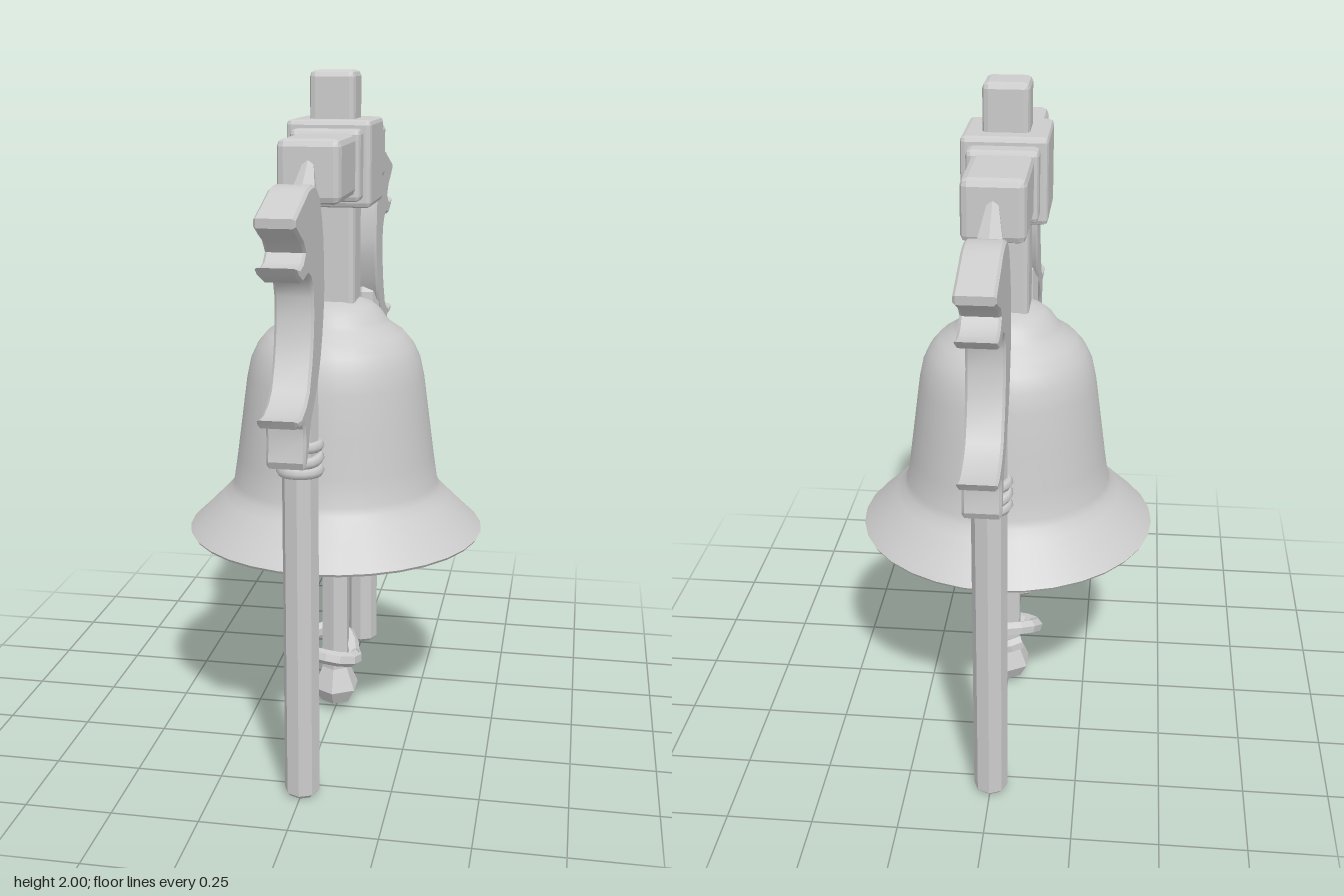
import * as THREE from 'three';
import { RoundedBoxGeometry } from 'three/addons/geometries/RoundedBoxGeometry.js';
import { toCreasedNormals } from 'three/addons/utils/BufferGeometryUtils.js';

const smooth = new THREE.MeshStandardMaterial({ color: 0xcccccc });
const faceted = new THREE.MeshStandardMaterial({ color: 0xcccccc, flatShading: true });
const open = new THREE.MeshStandardMaterial({ color: 0xcccccc, side: THREE.DoubleSide });

function add(parent, name, geometry, material, x = 0, y = 0, z = 0) {
  const mesh = new THREE.Mesh(geometry, material);
  mesh.name = name;
  mesh.position.set(x, y, z);
  parent.add(mesh);
  return mesh;
}

const vec2 = (list) => list.map(([a, b]) => new THREE.Vector2(a, b));
const lathe = (list, sides) => new THREE.LatheGeometry(vec2(list), sides);

// Box with chamfered edges
const chamferBox = (w, h, d, r = 0.015) => new RoundedBoxGeometry(w, h, d, 1, r);

// Leaping dolphin outline as (z, y), snout outward
function dolphinGeometry() {
  const shape = new THREE.Shape(vec2([
    // forehead and back
    [0.835, 1.672], [0.777, 1.69], [0.708, 1.712], [0.672, 1.725], [0.635, 1.73], [0.595, 1.73],
    [0.56, 1.721], [0.52, 1.695], [0.49, 1.64], [0.472, 1.59], [0.461, 1.52], [0.458, 1.447],
    [0.463, 1.405], [0.475, 1.363], [0.49, 1.32], [0.512, 1.272], [0.54, 1.228], [0.575, 1.188],
    // tail flukes
    [0.645, 1.13], [0.666, 1.098], [0.687, 1.05], [0.72, 1.02], [0.73, 1.04], [0.722, 1.093],
    [0.726, 1.13], [0.74, 1.15], [0.777, 1.148], [0.812, 1.152], [0.828, 1.176], [0.772, 1.172],
    [0.714, 1.188], [0.675, 1.214],
    // belly
    [0.64, 1.278], [0.622, 1.33], [0.612, 1.39], [0.612, 1.447], [0.623, 1.477], [0.645, 1.5],
    [0.68, 1.515],
    // open mouth
    [0.745, 1.505], [0.8, 1.527], [0.825, 1.553], [0.777, 1.547], [0.738, 1.555], [0.714, 1.575],
    [0.74, 1.602], [0.78, 1.62], [0.832, 1.648],
  ]));
  const bevel = 0.007, depth = 0.09;
  const geometry = new THREE.ExtrudeGeometry(shape, {
    depth, bevelEnabled: true, bevelThickness: bevel, bevelSize: bevel,
    bevelOffset: -bevel, bevelSegments: 1,
  });
  geometry.translate(0, 0, -depth / 2);
  geometry.rotateY(-Math.PI / 2);
  return toCreasedNormals(geometry, 0.5);
}

// Pole with rope rings, dolphin and fin, built on the +z side
function createSide(name) {
  const side = new THREE.Group();
  side.name = name;
  const z = 0.545;

  add(side, 'pole', lathe([[0, 0.005], [0.038, 0.005], [0.05, 0.017], [0.05, 1.27], [0.04, 1.29], [0, 1.29]], 8),
    faceted, 0, 0, z);

  [0.967, 1.002, 1.037].forEach((y, i) => {
    const ring = add(side, 'ropeRing', new THREE.TorusGeometry(0.05, 0.016, 6, 16), smooth, 0, y, z);
    ring.rotation.x = Math.PI / 2 + (i === 1 ? 0.12 : -0.04);
  });

  add(side, 'dolphin', dolphinGeometry(), smooth);

  // Fin tapering up to the end of the beam
  const base = new THREE.Vector3(0, 1.645, 0.51);
  const tip = new THREE.Vector3(0, 1.775, 0.4);
  const axis = tip.clone().sub(base);
  const fin = add(side, 'fin', new THREE.CylinderGeometry(0.014, 0.048, axis.length(), 6), faceted);
  fin.position.copy(base).add(tip).multiplyScalar(0.5);
  fin.quaternion.setFromUnitVectors(new THREE.Vector3(0, 1, 0), axis.normalize());
  return side;
}

export function createModel() {
  const model = new THREE.Group();
  model.name = 'bellStand';

  // Headstock of crossed timbers
  const headstock = new THREE.Group();
  headstock.name = 'headstock';
  model.add(headstock);
  add(headstock, 'uprightPost', chamferBox(0.132, 0.72, 0.132, 0.017), faceted, 0, 1.64, 0);
  add(headstock, 'crossBeam', chamferBox(0.174, 0.172, 0.84, 0.02), faceted, 0, 1.745, 0);
  add(headstock, 'beamCollar', chamferBox(0.2, 0.2, 0.364, 0.014), faceted, 0, 1.742, 0);
  add(headstock, 'centreBlock', chamferBox(0.244, 0.246, 0.244, 0.014), faceted, 0, 1.742, 0);

  // Thin-walled bell: inside downward, around the lip, then outside upward
  const bell = lathe([
    [0, 1.25], [0.08, 1.25], [0.15, 1.23], [0.2, 1.18], [0.23, 1.11], [0.262, 0.95], [0.288, 0.78],
    [0.33, 0.72], [0.425, 0.63], [0.432, 0.622], [0.445, 0.622], [0.45, 0.63], [0.437, 0.643],
    [0.4, 0.678], [0.345, 0.733], [0.322, 0.757], [0.312, 0.78], [0.3, 0.86], [0.284, 0.98],
    [0.268, 1.1], [0.255, 1.16], [0.235, 1.203], [0.205, 1.238], [0.167, 1.264], [0.152, 1.28],
    [0.135, 1.305], [0.11, 1.325], [0.075, 1.337], [0, 1.34],
  ], 32);
  add(model, 'bell', toCreasedNormals(bell, 0.6), open);

  // Clapper: rod, knob and loose rope coil
  const clapper = new THREE.Group();
  clapper.name = 'clapper';
  model.add(clapper);
  add(clapper, 'clapperRod', new THREE.CylinderGeometry(0.045, 0.045, 1.14, 6), faceted, 0, 0.7, 0);
  add(clapper, 'clapperKnob', lathe([[0, 0.035], [0.05, 0.035], [0.075, 0.08], [0.045, 0.15], [0, 0.15]], 6), faceted);
  const coil = new THREE.CatmullRomCurve3([
    [0.055, 0.2, 0.01], [0.035, 0.23, -0.05], [-0.02, 0.248, -0.072], [-0.085, 0.235, -0.03],
    [-0.085, 0.205, 0.03], [-0.02, 0.2, 0.06], [0.045, 0.188, 0.045], [0.062, 0.175, -0.02],
    [0.02, 0.168, -0.068], [-0.05, 0.185, -0.05],
  ].map((p) => new THREE.Vector3(...p)));
  add(clapper, 'ropeCoil', new THREE.TubeGeometry(coil, 16, 0.023, 6), new THREE.MeshStandardMaterial({
    color: 0xcccccc, flatShading: true, side: THREE.DoubleSide,
  }));

  // Matching dolphin poles at front and back
  const front = createSide('frontSide');
  const back = createSide('backSide');
  back.rotation.y = Math.PI;
  model.add(front, back);
  return model;
}
